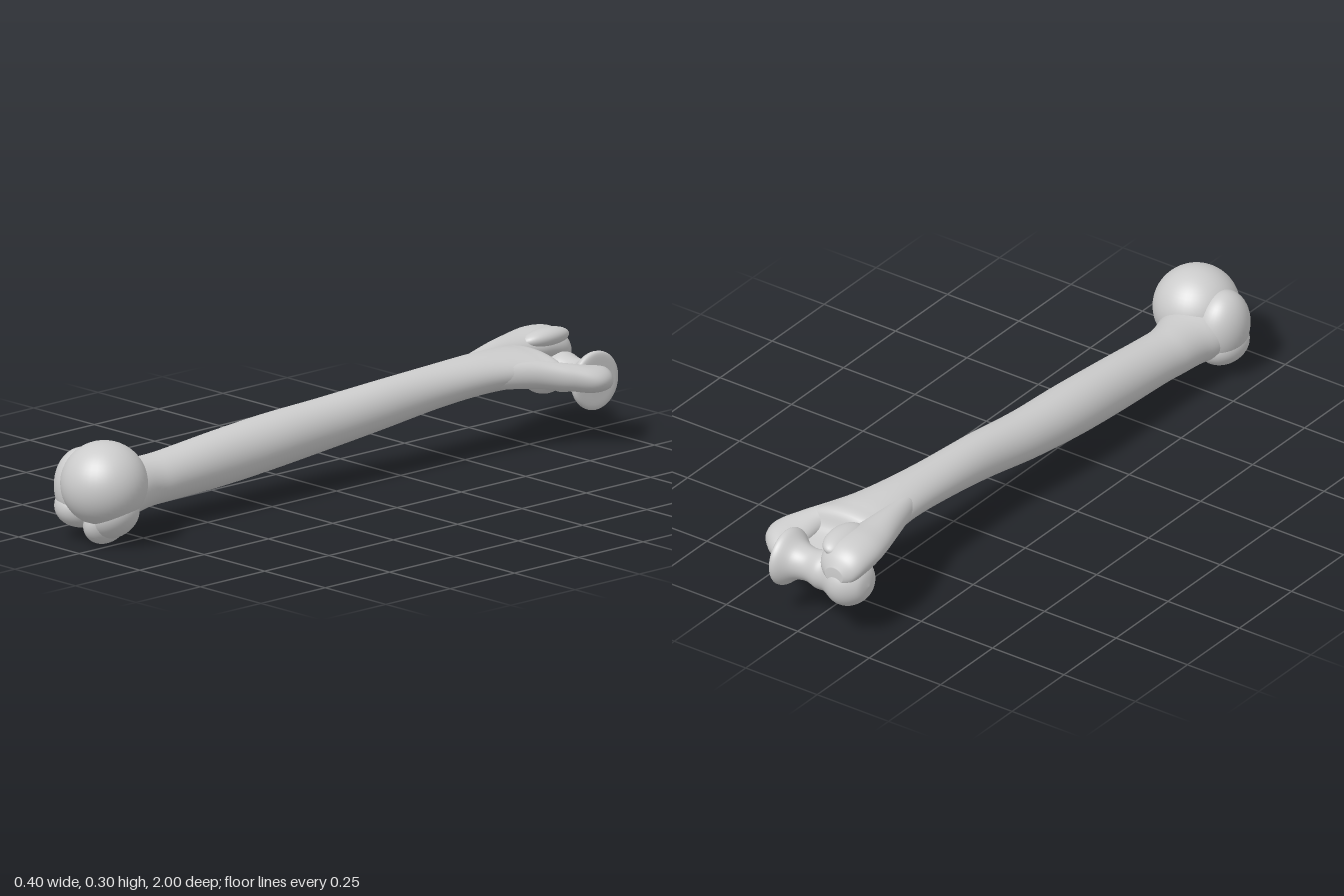
import * as THREE from 'three';

const bone = new THREE.MeshStandardMaterial({ color: 0xcccccc, side: THREE.DoubleSide });

// Smooth interpolation through neighbouring stations
function catmull(a, b, c, d, t) {
  return 0.5 * (2 * b + (c - a) * t + (2 * a - 5 * b + 4 * c - d) * t * t + (3 * b - a - 3 * c + d) * t * t * t);
}

// Loft of oval sections [z, centreX, centreY, radiusX, radiusY], running towards -z, closed at both ends
function loft(stations, sides = 48, steps = 8) {
  const last = stations.length - 1;
  const at = i => stations[Math.min(Math.max(i, 0), last)];
  const rings = [];
  for (let i = 0; i < last; i++)
    for (let s = 0; s < steps; s++)
      rings.push(at(i).map((v, k) => catmull(at(i - 1)[k], v, at(i + 1)[k], at(i + 2)[k], s / steps)));
  rings.push(at(last));
  const point = r => [r[0], r[1], r[2], 0, 0];
  rings.unshift(point(rings[0]));
  rings.push(point(at(last)));

  const pos = [], index = [];
  rings.forEach(([z, cx, cy, rx, ry], i) => {
    for (let j = 0; j < sides; j++) {
      const a = (j / sides) * Math.PI * 2;
      pos.push(cx + Math.max(rx, 0) * Math.cos(a), cy + Math.max(ry, 0) * Math.sin(a), z);
      if (i === rings.length - 1) continue;
      const k = (j + 1) % sides, p = i * sides, q = p + sides;
      index.push(p + j, q + j, p + k, p + k, q + j, q + k);
    }
  });
  const geo = new THREE.BufferGeometry();
  geo.setAttribute('position', new THREE.Float32BufferAttribute(pos, 3));
  geo.setIndex(index);
  geo.computeVertexNormals();
  return geo;
}

export function createModel() {
  const model = new THREE.Group();
  model.name = 'upperArmBone';

  const add = (name, geo) => {
    const mesh = new THREE.Mesh(geo, bone);
    mesh.name = name;
    model.add(mesh);
    return mesh;
  };
  const blob = (name, [x, y, z], [rx, ry, rz], tilt = 0) => {
    const mesh = add(name, new THREE.SphereGeometry(1, 40, 28));
    mesh.position.set(x, y, z);
    mesh.scale.set(rx, ry, rz);
    mesh.rotation.z = tilt;
  };

  // Shaft: flares into the neck at the front, flattens into a thin plate under the rear hollow
  add('shaft', loft([
    [0.90, -0.07, 0.14, 0.09, 0.085],
    [0.82, -0.067, 0.137, 0.108, 0.085],
    [0.75, -0.07, 0.136, 0.09, 0.077],
    [0.68, -0.076, 0.138, 0.078, 0.073],
    [0.60, -0.073, 0.142, 0.075, 0.073],
    [0.40, -0.07, 0.155, 0.075, 0.08],
    [0.20, -0.067, 0.17, 0.077, 0.08],
    [0.00, -0.06, 0.185, 0.071, 0.075],
    [-0.20, -0.045, 0.205, 0.066, 0.07],
    [-0.40, -0.038, 0.222, 0.069, 0.062],
    [-0.55, -0.03, 0.232, 0.08, 0.058],
    [-0.65, -0.022, 0.234, 0.098, 0.056],
    [-0.72, -0.014, 0.231, 0.12, 0.055],
    [-0.77, -0.005, 0.222, 0.14, 0.052],
    [-0.80, 0, 0.19, 0.14, 0.028],
    [-0.87, 0, 0.178, 0.13, 0.022],
  ]));

  // Front end: ball head and the knobs beside and below it
  blob('head', [-0.03, 0.178, 0.875], [0.124, 0.122, 0.125]);
  blob('greaterKnob', [-0.125, 0.15, 0.865], [0.078, 0.112, 0.09], 0.1);
  blob('greaterKnobLowerLobe', [-0.128, 0.095, 0.87], [0.07, 0.062, 0.085], -0.3);
  blob('lesserKnob', [-0.03, 0.062, 0.87], [0.046, 0.062, 0.075], -0.15);
  blob('lesserKnobRamp', [0.005, 0.085, 0.865], [0.078, 0.055, 0.07], 0.75);

  // Rear end: two columns framing the hollow
  add('outerColumn', loft([
    [-0.58, -0.075, 0.24, 0.03, 0.035],
    [-0.70, -0.098, 0.246, 0.045, 0.043],
    [-0.80, -0.112, 0.25, 0.063, 0.045],
    [-0.87, -0.115, 0.25, 0.075, 0.05],
    [-0.93, -0.115, 0.242, 0.074, 0.052],
    [-0.965, -0.115, 0.228, 0.06, 0.045],
    [-0.985, -0.115, 0.215, 0.03, 0.025],
  ]));
  blob('outerColumnCrest', [-0.075, 0.273, -0.88], [0.045, 0.03, 0.085], 0.3);
  add('innerColumn', loft([
    [-0.58, 0.02, 0.232, 0.03, 0.038],
    [-0.70, 0.062, 0.226, 0.04, 0.042],
    [-0.78, 0.112, 0.214, 0.046, 0.04],
    [-0.84, 0.138, 0.202, 0.06, 0.04],
    [-0.89, 0.142, 0.196, 0.05, 0.036],
    [-0.925, 0.125, 0.19, 0.035, 0.028],
    [-0.94, 0.12, 0.188, 0.015, 0.012],
  ]));

  // Hinge spool: rounded outer ball, waist, and sharp inner lip, turned about the x axis
  const profile = new THREE.SplineCurve([
    [0, -0.19], [0.042, -0.18], [0.072, -0.145], [0.077, -0.105], [0.058, -0.06], [0.058, -0.03],
    [0.049, 0.01], [0.057, 0.05], [0.083, 0.085], [0.08, 0.104], [0.04, 0.107], [0, 0.107],
  ].map(([r, x]) => new THREE.Vector2(r, x))).getPoints(60);
  profile.forEach(p => { p.x = Math.max(p.x, 0); });
  const spool = add('hingeSpool', new THREE.LatheGeometry(profile, 48));
  spool.rotation.z = -Math.PI / 2;
  spool.position.set(0, 0.175, -0.916);

  return model;
}
